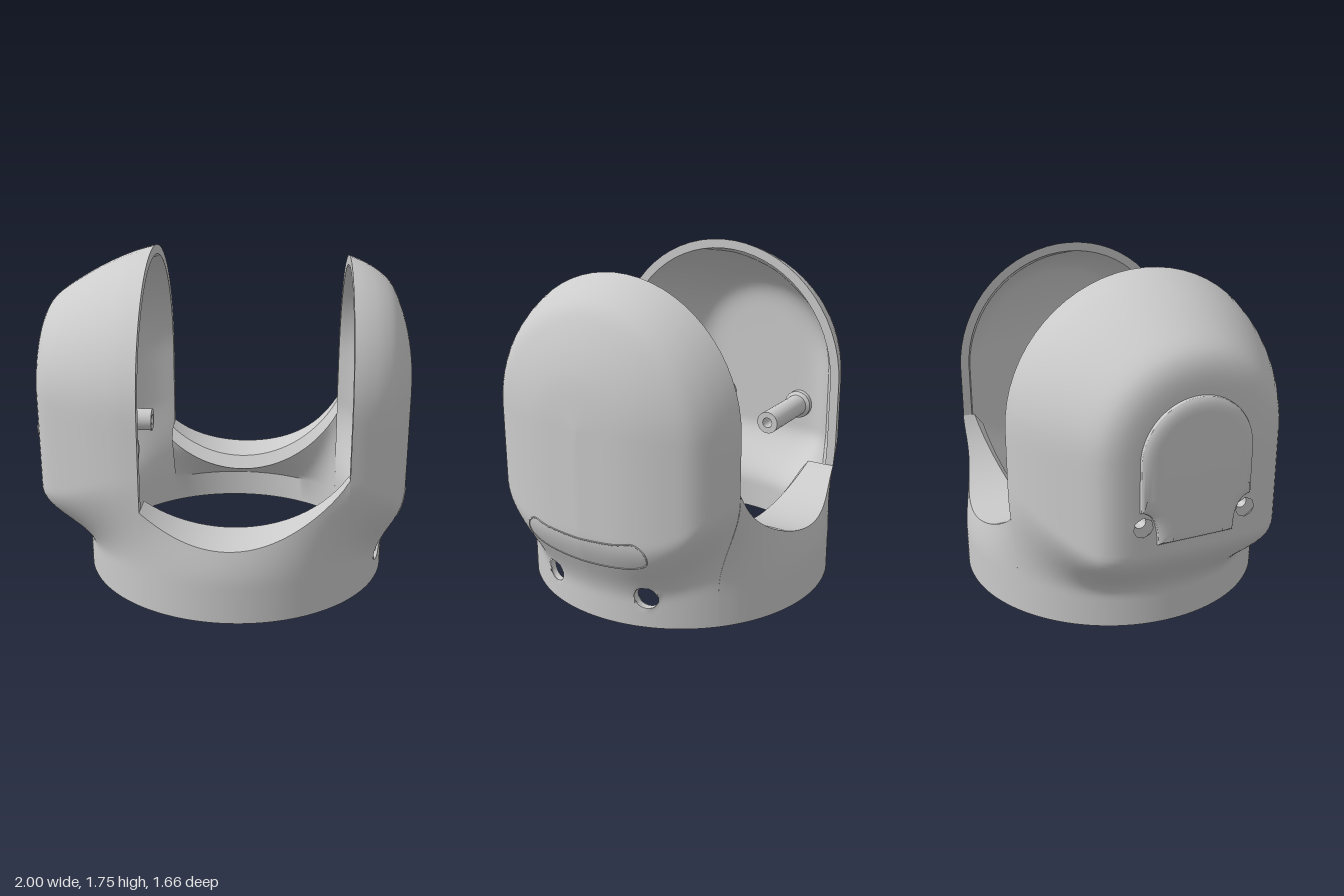
import * as THREE from 'three';
import { toCreasedNormals } from 'three/addons/utils/BufferGeometryUtils.js';

const CX = 0.0575;            // axis of the base ring
const R_OUT = 0.828, R_IN = 0.795, WALL = 0.05;
const SPRING = 1.02;          // height where the arched tops begin
const STATIONS = 40, ARCH = 32;
const CUT_BLEND = [0.2, 0.7]; // heights between which the ring flows into the walls

const material = new THREE.MeshStandardMaterial({ color: 0xcccccc, side: THREE.DoubleSide });
const { lerp, smoothstep } = THREE.MathUtils;

function add(group, name, geometry) {
  const mesh = new THREE.Mesh(geometry, material);
  mesh.name = name;
  group.add(mesh);
  return mesh;
}

// Skin over rows of points; round holes (seen along x) are cut and their edges snapped to a circle
function skin(rows, { closed = false, flip = false, holes = [] } = {}) {
  const n = rows[0].length, pos = [], index = [];
  const inside = [];
  rows.forEach((row) => row.forEach((p) => {
    let [x, y, z] = p, hit = false;
    for (const h of holes) {
      const d = Math.hypot(z - h.z, y - h.y);
      if (d < h.r) {
        const k = h.r / Math.max(d, 1e-4);
        y = h.y + (y - h.y) * k;
        z = h.z + (z - h.z) * k;
        hit = true;
      }
    }
    inside.push(hit);
    pos.push(x, y, z);
  }));
  for (let j = 0; j < rows.length - 1; j++) {
    for (let i = 0; i < (closed ? n : n - 1); i++) {
      const k = (i + 1) % n;
      const a = j * n + i, b = j * n + k, c = (j + 1) * n + k, d = (j + 1) * n + i;
      if (inside[a] && inside[b] && inside[c] && inside[d]) continue;
      if (flip) index.push(a, c, b, a, d, c);
      else index.push(a, b, c, a, c, d);
    }
  }
  const g = new THREE.BufferGeometry();
  g.setAttribute('position', new THREE.Float32BufferAttribute(pos, 3));
  g.setIndex(index);
  return toCreasedNormals(g, 0.6);
}

// Heights of the rows on the straight legs
const legs = [];
for (let y = 0; y < 0.799; y += 0.025) legs.push(y);
legs.push(0.8, 0.87, 0.95);

// One layer of a side cup: profile of (x, radius), swept over the arch, legs flowing into the ring
function cupLayer(profile, blend, inner) {
  const pts = new THREE.SplineCurve(profile.map(([x, r]) => new THREE.Vector2(x, r))).getSpacedPoints(STATIONS);
  const cut = profile[0][0], w = profile[0][1], depth = Math.abs(profile.at(-1)[0] - cut);
  const R = inner ? R_IN : R_OUT;
  const a0 = Math.acos((cut - CX) / R), a1 = cut > 0 ? 0 : Math.PI;
  const stations = pts.map((p, i) => {
    const t = i / STATIONS, a = lerp(a0, a1, t), u = smoothstep(t, 0, 0.6);
    const x = inner ? cut + (p.x - cut) * (depth - WALL) / depth : p.x;
    const r = Math.max(0, inner ? p.y * (w - WALL) / w : p.y);
    const lo = lerp(CUT_BLEND[0], blend[0], u), hi = lerp(CUT_BLEND[1], blend[1], u);
    return { x, r, lo, hi, rx: CX + R * Math.cos(a), rz: R * Math.sin(a) };
  });
  const leg = (y, side) => stations.map((s) => {
    const k = smoothstep(y, s.lo, s.hi);
    return [lerp(s.rx, s.x, k), y, side * lerp(s.rz, s.r, k)];
  });
  const rows = legs.map((y) => leg(y, 1));
  for (let j = 0; j <= ARCH; j++) {
    const a = Math.PI * j / ARCH;
    rows.push(stations.map((s) => [s.x, SPRING + s.r * Math.sin(a), s.r * Math.cos(a)]));
  }
  [...legs].reverse().forEach((y) => rows.push(leg(y, -1)));
  return rows;
}

function makeCup(name, profile, blend, holes) {
  const cup = new THREE.Group();
  cup.name = name;
  const flip = profile[0][0] < 0;
  const outer = cupLayer(profile, blend, false), inner = cupLayer(profile, blend, true);
  add(cup, name + 'OuterWall', skin(outer, { holes, flip: !flip }));
  add(cup, name + 'InnerWall', skin(inner, { holes, flip }));
  add(cup, name + 'Rim', skin(outer.map((row, j) => [row[0], inner[j][0]]), { flip }));
  return { cup, outer };
}

// Thick saddle joining the cups, with a round scoop cut through its top
function makeBridge(side) {
  const rows = [], x0 = -0.38, x1 = 0.65, n = 36, outerSteps = 16, underSteps = 8;
  for (let i = 0; i <= n; i++) {
    const t = i / n, x = lerp(x0, x1, t), dx = x - CX;
    const top = 1.06 - Math.sqrt(0.68 ** 2 - dx * dx);
    const ringOut = Math.sqrt(R_OUT ** 2 - dx * dx), ringIn = Math.sqrt(R_IN ** 2 - dx * dx);
    const wall = lerp(0.735, 0.69, t) + 0.12 * t * (1 - t);
    const lip = 0.52 + 0.29 * dx * dx;
    const outerZ = (y) => lerp(ringOut, wall, smoothstep(y, ...CUT_BLEND));
    const row = [], ends = i === 0 || i === n;
    for (let j = 0; j <= outerSteps; j++) row.push([x, top * j / outerSteps, side * outerZ(top * j / outerSteps)]);
    row.push([x, top, side * lip]);
    for (let j = 0; j <= underSteps; j++) {
      const u = j / underSteps;
      row.push([x, lerp(top - 0.07, 0.16, u), side * lerp(lip - 0.05, ringIn, u)]);
    }
    row.push([x, 0, side * ringIn]);
    // end faces run from the underside straight out to the wall
    const endFace = () => row.map(([px, y]) => [px, y, side * outerZ(y)]);
    if (ends && i === 0) rows.push(endFace());
    rows.push(row);
    if (ends && i === n) rows.push(endFace());
  }
  return skin(rows, { closed: true, flip: side > 0 });
}

// Screw post with a collar, pointing along x
function makePost(bore, length, dir) {
  const profile = [[bore, 0], [0.085, 0], [0.085, 0.05], [0.065, 0.065], [0.065, length], [bore, length]];
  if (bore) profile.push([bore, 0]);
  const g = new THREE.LatheGeometry(profile.map(([r, y]) => new THREE.Vector2(r, y)), 24);
  g.rotateZ(-dir * Math.PI / 2);
  return toCreasedNormals(g, 0.6);
}

export function createModel() {
  const model = new THREE.Group();
  model.name = 'twoCupHousing';

  // Side cups
  const cableHoles = [0.28, -0.28].map((z) => ({ z, y: 0.165, r: 0.06 }));
  const screwHoles = [0.27, -0.27].map((z) => ({ z, y: 0.68, r: 0.05 }));
  const left = makeCup('leftCup', [[0.65, 0.688], [0.72, 0.66], [0.8, 0.615], [0.87, 0.55],
    [0.92, 0.45], [0.96, 0.33], [0.985, 0.2], [1, 0]], [0.13, 0.5], cableHoles);
  const right = makeCup('rightCup', [[-0.38, 0.735], [-0.5, 0.7], [-0.65, 0.635], [-0.8, 0.55],
    [-0.9, 0.48], [-0.945, 0.42], [-0.965, 0.34], [-0.969, 0.2], [-0.97, 0]], [0.17, 0.53], screwHoles);
  model.add(left.cup, right.cup);

  // Front and back saddles, underside of the ring
  add(model, 'frontBridge', makeBridge(1));
  add(model, 'backBridge', makeBridge(-1));
  add(model, 'ringUnderside', new THREE.RingGeometry(R_IN, R_OUT, 96).rotateX(Math.PI / 2)).position.x = CX;

  // Walls of the round holes in the ring
  for (const h of cableHoles) {
    const rows = [];
    for (let i = 0; i <= 24; i++) {
      const a = i / 24 * Math.PI * 2, z = h.z + h.r * Math.cos(a), y = h.y + h.r * Math.sin(a);
      rows.push([R_OUT, R_IN].map((R) => [CX + Math.sqrt(R * R - z * z), y, z]));
    }
    add(model, 'cableHoleWall', skin(rows));
  }

  // Screw posts inside the cups
  for (const z of [0.27, -0.27]) {
    add(model, 'rightPost', makePost(0.03, 0.47, 1)).position.set(-0.93, 0.69, z);
    add(model, 'leftPost', makePost(0, 0.16, -1)).position.set(0.93, 0.445, z);
  }

  // Softly domed, arched cover panel with notched lower corners
  const s = new THREE.Shape();
  s.moveTo(-0.2, 0.58);
  s.lineTo(0.2, 0.58);
  s.quadraticCurveTo(0.2, 0.75, 0.29, 0.76);
  s.lineTo(0.29, 1);
  s.absarc(0, 1, 0.29, 0, Math.PI, false);
  s.lineTo(-0.29, 0.76);
  s.quadraticCurveTo(-0.2, 0.75, -0.2, 0.58);
  const panel = new THREE.ExtrudeGeometry(s, { depth: 0.004, bevelThickness: 0.026, bevelSize: 0.07,
    bevelOffset: -0.07, bevelSegments: 5, curveSegments: 24 }).rotateY(-Math.PI / 2);
  add(model, 'coverPanel', toCreasedNormals(panel, 0.5)).position.x = -0.97;

  // Curved slot outline, laid on the left cup's wall
  const wallX = (y, z) => {
    const j = Math.min(legs.length - 2, Math.floor(y / 0.025));
    const at = (row) => {
      const i = Math.max(1, row.findIndex((p) => p[2] <= Math.abs(z)));
      const p = row[i - 1], q = row[i];
      return lerp(p[0], q[0], (p[2] - Math.abs(z)) / (p[2] - q[2]));
    };
    return lerp(at(left.outer[j]), at(left.outer[j + 1]), (y - legs[j]) / (legs[j + 1] - legs[j]));
  };
  const outline = [[-0.3, 0.505], [-0.2, 0.49], [0, 0.48], [0.2, 0.49], [0.3, 0.505], [0.35, 0.46], [0.345, 0.4],
    [0.28, 0.365], [0.15, 0.345], [0, 0.34], [-0.15, 0.345], [-0.28, 0.365], [-0.345, 0.4], [-0.35, 0.46]];
  const flat = new THREE.CatmullRomCurve3(outline.map(([z, y]) => new THREE.Vector3(0, y, z)), true);
  const path = flat.getSpacedPoints(80).slice(0, -1).map((p) => new THREE.Vector3(wallX(p.y, p.z), p.y, p.z));
  add(model, 'slotOutline', new THREE.TubeGeometry(new THREE.CatmullRomCurve3(path, true), 160, 0.004, 6, true));

  return model;
}
